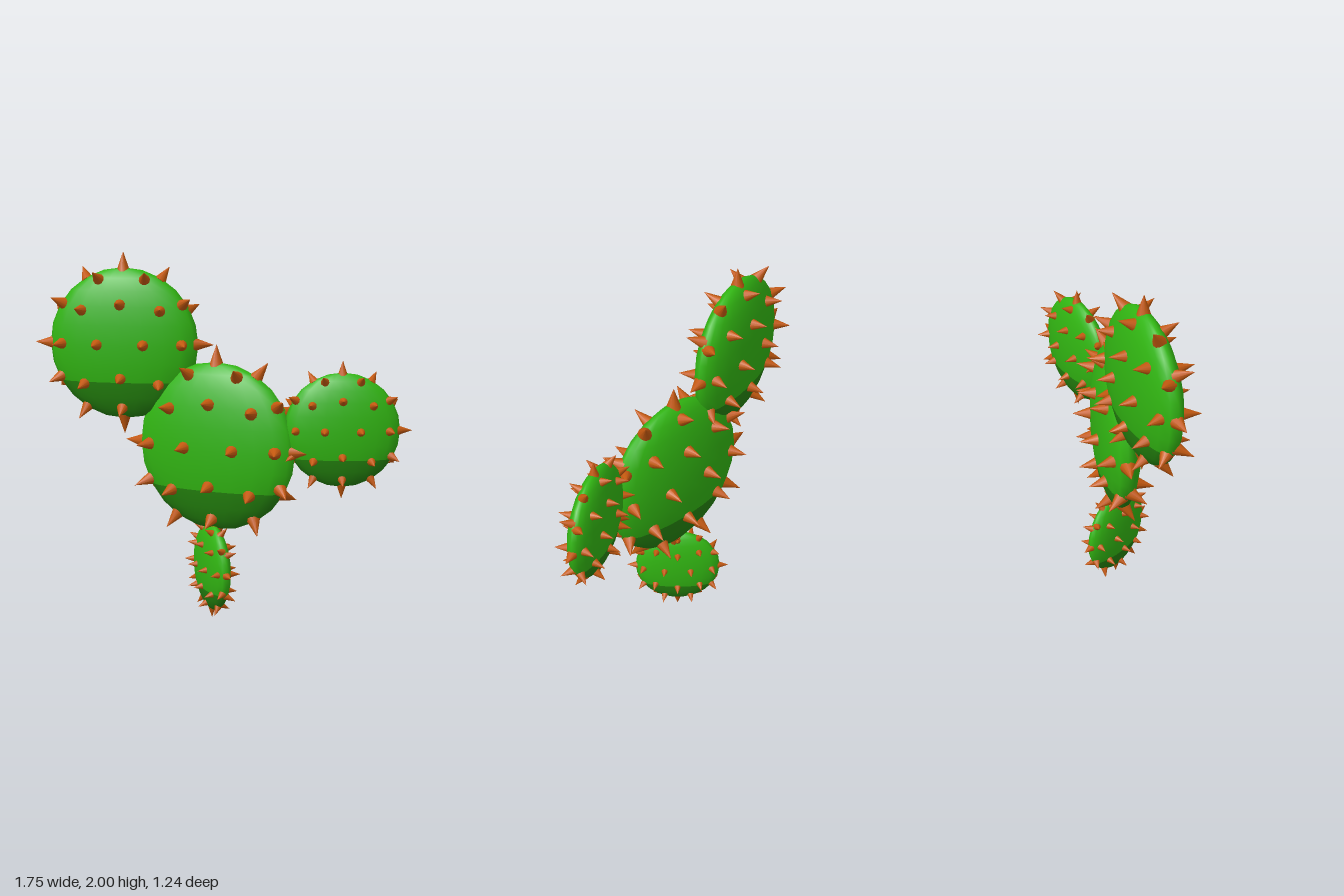
import * as THREE from 'three';
import { mergeGeometries } from 'three/addons/utils/BufferGeometryUtils.js';

const FLATNESS = 0.275; // pad thickness relative to its radius
const CUT = Math.PI * 2 / 3; // polar angle where the darker underside begins
const rad = THREE.MathUtils.degToRad;

// 42 evenly spread spine directions: poles, staggered rings and an equator of ten
function spineDirections() {
  const dirs = [];
  const add = (lat, az) => dirs.push(new THREE.Vector3(
    Math.cos(rad(lat)) * Math.cos(rad(az)), Math.sin(rad(lat)), Math.cos(rad(lat)) * Math.sin(rad(az))));
  add(90, 0);
  add(-90, 0);
  for (let i = 0; i < 10; i++) add(0, i * 36);
  for (let i = 0; i < 5; i++) {
    const a = 54 + i * 72;
    for (const [side, az] of [[1, a], [-1, a + 36]]) {
      add(side * 58.28, az);
      add(side * 26.57, az);
      add(side * 31.72, az + 36);
    }
  }
  return dirs;
}

// All spines of one pad, each standing along the surface normal
function spineGeometry(r) {
  const up = new THREE.Vector3(0, 1, 0);
  const height = 0.26 * r, sink = 0.05 * r;
  return mergeGeometries(spineDirections().map((d) => {
    const normal = new THREE.Vector3(d.x, d.y, d.z / FLATNESS).normalize();
    const base = new THREE.Vector3(d.x, d.y, d.z * FLATNESS).multiplyScalar(r);
    const cone = new THREE.ConeGeometry(0.09 * r, height, 10);
    cone.translate(0, height / 2 - sink, 0);
    cone.applyQuaternion(new THREE.Quaternion().setFromUnitVectors(up, normal));
    return cone.translate(base.x, base.y, base.z);
  }));
}

// Flattened ball, from one polar angle to another
function padGeometry(r, start, length, rings) {
  return new THREE.SphereGeometry(r, 20, rings, 0, Math.PI * 2, start, length).scale(1, 1, FLATNESS);
}

export function createModel() {
  const green = new THREE.MeshStandardMaterial({ name: 'green', color: 0x31b512 });
  const darkGreen = new THREE.MeshStandardMaterial({ name: 'darkGreen', color: 0x24830e });
  const orange = new THREE.MeshStandardMaterial({ name: 'orangeBrown', color: 0xc4590f });

  const model = new THREE.Group();
  model.name = 'cactus';

  // name, centre, radius, turn about the vertical in degrees
  const pads = [
    ['footPad', [-0.05, 0.29, 0.005], 0.24, 90],
    ['mainPad', [-0.03, 0.96, 0.025], 0.458, 45],
    ['upperRightPad', [-0.445, 1.5, -0.31], 0.412, 30],
    ['leftPad', [0.53, 1.08, 0.42], 0.305, 21],
  ];
  for (const [name, centre, r, turn] of pads) {
    const pad = new THREE.Group();
    pad.name = name;
    pad.position.set(...centre);
    pad.rotation.y = -rad(turn);
    const part = (partName, geometry, material) => {
      const mesh = new THREE.Mesh(geometry, material);
      mesh.name = partName;
      pad.add(mesh);
    };
    part('padBody', padGeometry(r, 0, CUT, 8), green);
    part('padUnderside', padGeometry(r, CUT, Math.PI - CUT, 4), darkGreen);
    part('spines', spineGeometry(r), orange);
    model.add(pad);
  }
  return model;
}
